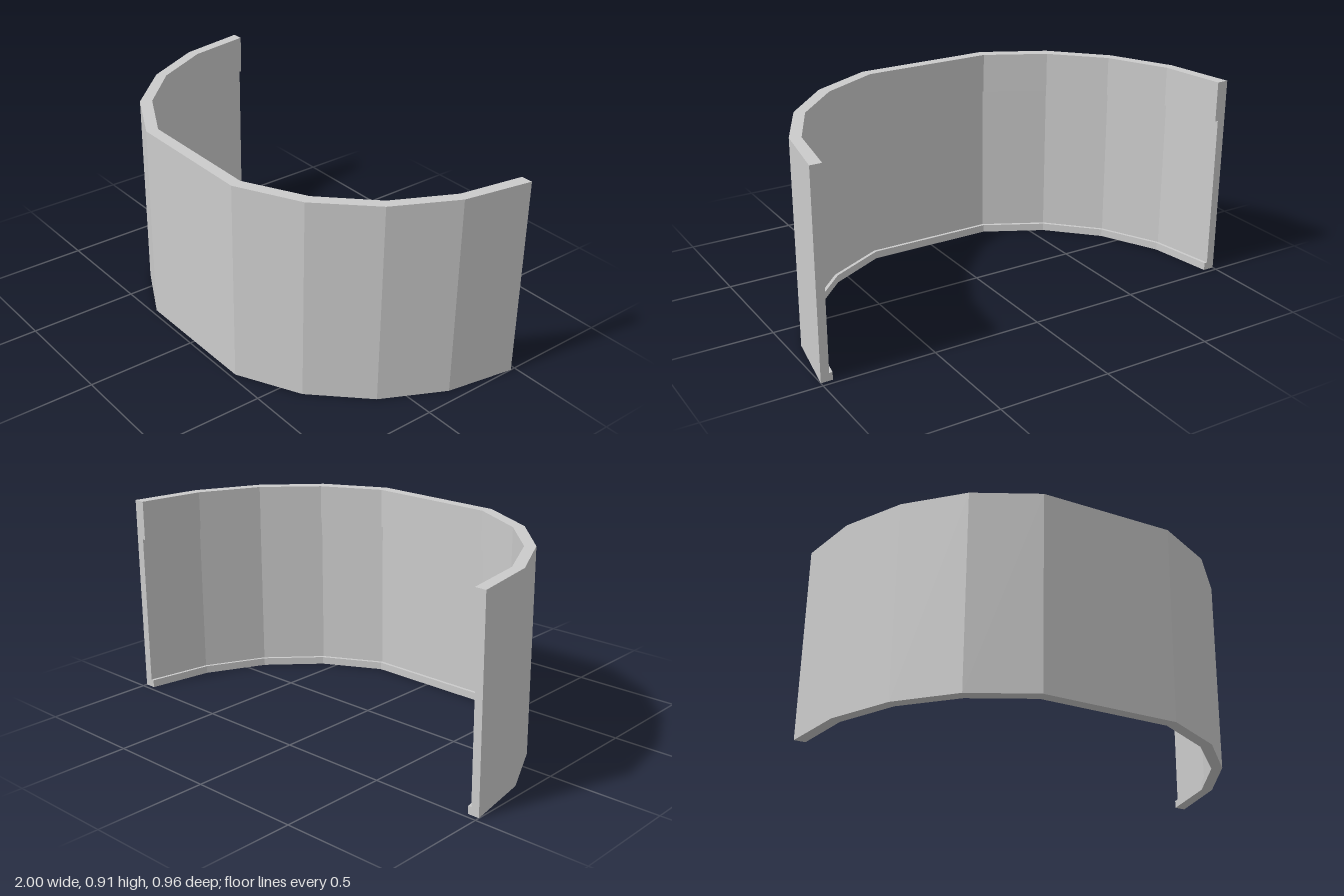
import * as THREE from 'three';

// Left half of the plan: outer and inner corners [x, z], from the front to the end
const OUTER = [[0.31, 0.478], [0.59, 0.335], [0.805, 0.112], [0.945, -0.165], [1, -0.478]];
const INNER = [[0.298, 0.426], [0.563, 0.288], [0.768, 0.08], [0.9, -0.185], [0.948, -0.478]];

// Wall section [depth from outside 0 to inside 1, height], with a shallow recess inside
const SECTION = [
  [0, 0], [0, 0.91], [1, 0.91], [1, 0.73], [0.72, 0.73], [0.72, 0.035], [1, 0.035], [1, 0],
];
const CAP = [[1, 2, 3, 4], [0, 1, 4, 5], [0, 5, 6, 7]];

// Mirror a half plan into the full run from right end to left end
const mirror = (half) => [...half.map(([x, z]) => [-x, z]).reverse(), ...half];

function curvedWall() {
  const outer = mirror(OUTER), inner = mirror(INNER);
  const rings = outer.map(([ox, oz], i) => SECTION.map(([t, y]) => new THREE.Vector3(
    THREE.MathUtils.lerp(ox, inner[i][0], t), y, THREE.MathUtils.lerp(oz, inner[i][1], t))));

  const points = [];
  const quad = (a, b, c, d) => points.push(a, b, c, a, c, d);

  // Sweep the section along the plan
  for (let i = 0; i < rings.length - 1; i++) {
    for (let j = 0; j < SECTION.length; j++) {
      const k = (j + 1) % SECTION.length;
      quad(rings[i][j], rings[i + 1][j], rings[i + 1][k], rings[i][k]);
    }
  }
  // Close both ends
  const first = rings[0], last = rings[rings.length - 1];
  for (const [a, b, c, d] of CAP) {
    quad(first[a], first[b], first[c], first[d]);
    quad(last[d], last[c], last[b], last[a]);
  }
  const geometry = new THREE.BufferGeometry().setFromPoints(points);
  geometry.computeVertexNormals();
  return geometry;
}

export function createModel() {
  const group = new THREE.Group();
  group.name = 'curvedPanel';
  const material = new THREE.MeshStandardMaterial({ color: 0xcccccc, flatShading: true });
  const wall = new THREE.Mesh(curvedWall(), material);
  wall.name = 'recessedWall';
  group.add(wall);
  return group;
}
